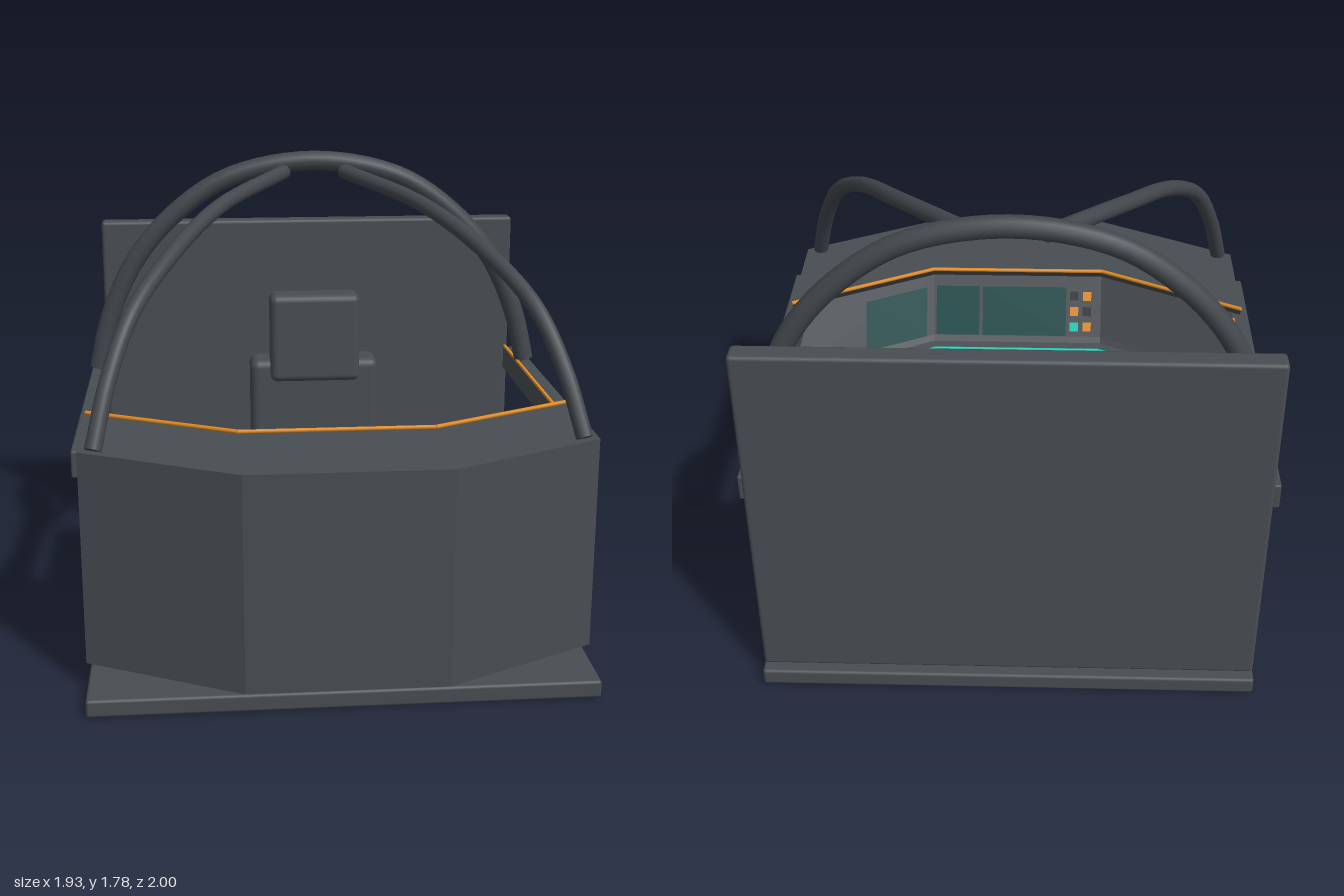
import * as THREE from 'three';
import { RoundedBoxGeometry } from 'three/addons/geometries/RoundedBoxGeometry.js';

const paint = (name, color) => {
  const m = new THREE.MeshStandardMaterial({ color });
  m.name = name;
  return m;
};

export function createModel() {
  const grey = paint('shell grey', 0x484d52);
  const tubeGrey = paint('tube grey', 0x42474c);
  const dark = paint('dark control', 0x2a2d30);
  const orange = paint('orange trim', 0xe08a20);
  const teal = paint('teal trim', 0x12c8b4);
  const glass = paint('screen teal', 0x0f4444);
  glass.side = THREE.DoubleSide;

  const model = new THREE.Group();
  model.name = 'cockpit';
  const add = (name, geometry, material) => {
    const mesh = new THREE.Mesh(geometry, material);
    mesh.name = name;
    model.add(mesh);
    return mesh;
  };
  // Box given by its limits, with optional rounded edges
  const box = (name, mat, x0, x1, y0, y1, z0, z1, r = 0) => {
    const s = [x1 - x0, y1 - y0, z1 - z0];
    const g = r ? new RoundedBoxGeometry(...s, 3, r) : new THREE.BoxGeometry(...s);
    return add(name, g.translate((x0 + x1) / 2, (y0 + y1) / 2, (z0 + z1) / 2), mat);
  };
  // Straight rod between two points
  const rod = (name, mat, a, b, r0, r1 = r0, sides = 12) => {
    const p = new THREE.Vector3(...a), q = new THREE.Vector3(...b);
    const d = q.clone().sub(p);
    const mesh = add(name, new THREE.CylinderGeometry(r1, r0, d.length(), sides), mat);
    mesh.position.copy(p).lerp(q, 0.5);
    mesh.quaternion.setFromUnitVectors(new THREE.Vector3(0, 1, 0), d.normalize());
    return mesh;
  };
  // Curved tube with closed ends
  const tube = (name, mat, points, radius) => {
    const curve = new THREE.CatmullRomCurve3(points.map(p => new THREE.Vector3(...p)));
    add(name, new THREE.TubeGeometry(curve, 48, radius, 14), mat);
    for (const t of [0, 1]) {
      const cap = add(name + 'Cap', new THREE.CircleGeometry(radius, 14), mat);
      cap.position.copy(curve.getPoint(t));
      const out = curve.getTangent(t).multiplyScalar(t ? 1 : -1);
      cap.quaternion.setFromUnitVectors(new THREE.Vector3(0, 0, 1), out);
    }
  };

  // Floor and rear wall
  box('floor', grey, -0.915, 0.915, 0, 0.066, -1, 0.94, 0.012);
  box('rearWall', grey, -0.915, 0.915, 0.06, 1.447, -0.955, -0.873, 0.015);

  // Front console: one side profile carried along a bent plan line
  const bends = [-0.925, -0.36, 0.36, 0.925];
  const shift = [-0.29, 0, 0, -0.29];
  const profile = [[1, 0.1], [1, 0.9], [0.54, 0.9], [0.575, 0.86], [0.46, 0.625],
    [0.445, 0.602], [0.4, 0.592], [0.4, 0.1]];
  const shape = new THREE.Shape(profile.map(([z, y]) => new THREE.Vector2(-z, y)));
  const shell = new THREE.ExtrudeGeometry(shape, { depth: 3, steps: 3, bevelEnabled: false });
  shell.rotateY(Math.PI / 2);
  const pos = shell.attributes.position;
  for (let i = 0; i < pos.count; i++) {
    const k = Math.round(pos.getX(i));
    pos.setX(i, bends[k]);
    pos.setZ(i, pos.getZ(i) + shift[k]);
  }
  shell.computeVertexNormals();
  add('frontConsole', shell, grey);

  // Trim lines along the console rim and the panel's lower lip
  for (let i = 0; i < 3; i++) {
    const line = (name, mat, y, z, r, s) => rod(name, mat,
      [bends[i] * s, y, z + shift[i] * s], [bends[i + 1] * s, y, z + shift[i + 1] * s], r, r, 8);
    line('rimTrim', orange, 0.907, 0.54, 0.008, 1);
    line('panelTrim', teal, 0.596, 0.4, 0.006, 0.97);
  }

  // Plates lying on the sloped instrument panel
  const onPanel = (x, y, lift) => [x, y,
    0.46 + (y - 0.625) * 0.489 - Math.max(0, Math.abs(x) - 0.36) * 0.513 - lift];
  const plate = (name, mat, x0, x1, y0, y1, lift = 0.007) => {
    const g = new THREE.BufferGeometry();
    const corners = [[x0, y0], [x0, y1], [x1, y1], [x1, y0]];
    g.setAttribute('position', new THREE.Float32BufferAttribute(
      corners.flatMap(([x, y]) => onPanel(x, y, lift)), 3));
    g.setIndex([0, 1, 2, 0, 2, 3]);
    g.computeVertexNormals();
    add(name, g, mat);
  };
  plate('mainScreen', glass, -0.21, 0.15, 0.63, 0.82);
  plate('smallScreen', glass, 0.165, 0.35, 0.63, 0.82);
  plate('sideScreen', glass, 0.39, 0.64, 0.63, 0.82);
  const keys = [[orange, teal], [dark, orange], [orange, dark]];
  keys.forEach((row, r) => row.forEach((mat, c) => {
    const x = -0.3 + c * 0.055, y = 0.65 + r * 0.06;
    plate('panelKey', mat, x - 0.018, x + 0.018, y, y + 0.035, 0.01);
  }));

  for (const s of [-1, 1]) {
    const sided = (name, mat, x0, x1, ...rest) =>
      box(name, mat, Math.min(s * x0, s * x1), Math.max(s * x0, s * x1), ...rest);
    // Side rail with its trim line
    sided('sideRail', grey, 0.888, 0.96, 0.755, 0.857, -0.835, 0.565, 0.008);
    sided('railTrim', orange, 0.89, 0.901, 0.854, 0.864, -0.835, 0.25);
    // Side console with top panel and keys
    sided('sideConsole', grey, 0.62, 0.94, 0.19, 0.535, -0.542, 0.32, 0.01);
    sided('sideConsoleTop', grey, 0.64, 0.92, 0.53, 0.542, -0.52, 0.3);
    [-0.13, -0.035, 0.065, 0.16].forEach((z, i) =>
      sided('consoleKey', i % 2 ? teal : orange, 0.694, 0.73, 0.541, 0.55, z - 0.014, z + 0.014));
    // Forward strut of the cage
    tube('cageStrut', tubeGrey, [[s * 0.868, 0.905, 0.71], [s * 0.815, 1.12, 0.6],
      [s * 0.735, 1.32, 0.46], [s * 0.605, 1.475, 0.22], [s * 0.4, 1.615, -0.18],
      [s * 0.125, 1.7, -0.56]], 0.031);
  }

  // Main hoop of the cage
  const half = [[0.928, 0.865], [0.875, 1.08], [0.765, 1.32], [0.6, 1.515], [0.36, 1.675]];
  tube('cageHoop', tubeGrey, [
    ...half.map(([x, y]) => [-x, y, -0.587]),
    [0, 1.742, -0.587],
    ...half.map(([x, y]) => [x, y, -0.587]).reverse()], 0.041);

  // Seat back and headrest
  box('seatBack', grey, -0.277, 0.277, 0.14, 0.885, -0.717, -0.545, 0.035);
  box('headrest', grey, -0.192, 0.192, 0.8, 1.18, -0.64, -0.495, 0.03);

  // Throttle on the left console
  box('throttleSlot', dark, 0.657, 0.68, 0.54, 0.551, -0.295, 0.08);
  rod('throttleLever', tubeGrey, [0.66, 0.54, -0.14], [0.65, 0.68, -0.11], 0.014);
  box('throttleGrip', tubeGrey, 0.623, 0.673, 0.665, 0.728, -0.155, -0.073, 0.018);

  // Control stick
  rod('stickBase', tubeGrey, [0, 0.1, -0.025], [0, 0.2, -0.025], 0.063, 0.063, 24);
  rod('stickShaft', tubeGrey, [0, 0.19, -0.03], [0, 0.38, 0], 0.018);
  rod('stickGrip', tubeGrey, [0, 0.36, -0.003], [0, 0.5, 0.02], 0.024, 0.028);
  box('stickTrigger', orange, -0.008, 0.008, 0.46, 0.48, 0.03, 0.055);

  return model;
}
